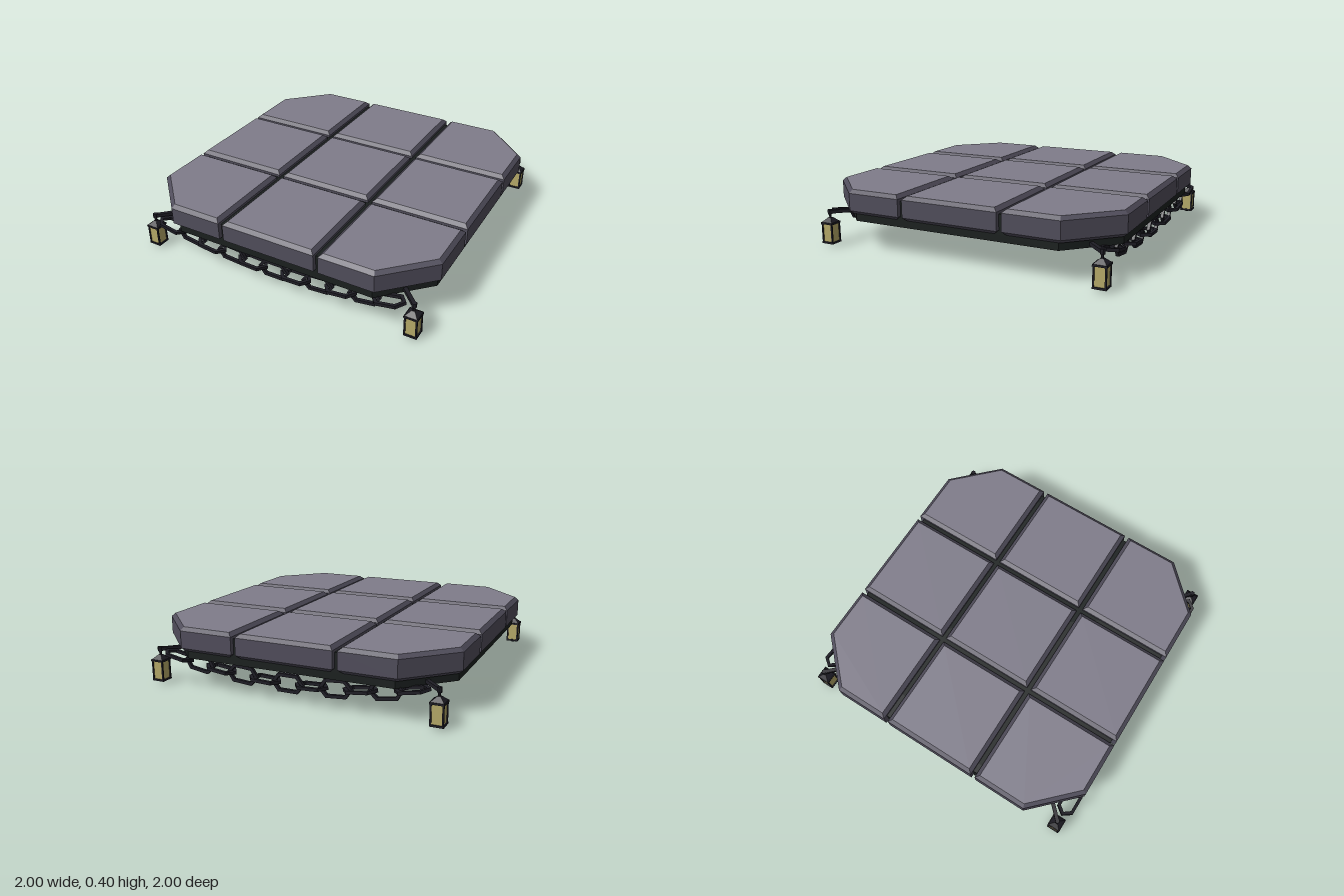
import * as THREE from 'three';

const mat = (color, flatShading = true) => new THREE.MeshStandardMaterial({ color, flatShading });
const stoneTop = mat(0x7f7c8a), stoneSide = mat(0x504d5b), coreMat = mat(0x1b201f);
const rockMat = mat(0x1b1a20, false), iron = mat(0x1e1d25), glow = mat(0xb5a968);

function add(parent, name, geometry, material, x = 0, y = 0, z = 0) {
  const mesh = new THREE.Mesh(geometry, material);
  mesh.name = name;
  mesh.position.set(x, y, z);
  parent.add(mesh);
  return mesh;
}

// Rectangle outline; corners that reach the platform's own corners are cut off
function outline(x0, x1, z0, z1, half, cut) {
  const pts = [];
  [[x0, z0], [x1, z0], [x1, z1], [x0, z1]].forEach(([x, z], i) => {
    if (Math.abs(x) < half || Math.abs(z) < half) {
      pts.push(new THREE.Vector2(x, -z));
      return;
    }
    const alongX = new THREE.Vector2(x - Math.sign(x) * cut, -z);
    const alongZ = new THREE.Vector2(x, -(z - Math.sign(z) * cut));
    pts.push(...(i % 2 ? [alongX, alongZ] : [alongZ, alongX]));
  });
  return new THREE.Shape(pts);
}

// Extrude an outline upward, with an optional chamfer kept inside it
function slab(shape, height, size = 0, thickness = 0) {
  const g = new THREE.ExtrudeGeometry(shape, {
    depth: height - 2 * thickness, bevelEnabled: size > 0, bevelSize: size,
    bevelOffset: -size, bevelThickness: thickness, bevelSegments: 1,
  });
  g.translate(0, 0, thickness);
  return g.rotateX(-Math.PI / 2);
}

// Elongated six-sided ring, centred on the origin in the XY plane
function linkGeometry() {
  const hex = (a, b, h) => [[a, 0], [b, h], [-b, h], [-a, 0], [-b, -h], [b, -h]]
    .map(([x, y]) => new THREE.Vector2(x, y));
  const shape = new THREE.Shape(hex(0.11, 0.066, 0.058));
  shape.holes.push(new THREE.Path(hex(0.086, 0.055, 0.038)));
  const g = new THREE.ExtrudeGeometry(shape, { depth: 0.02, bevelEnabled: false });
  return g.translate(0, 0, -0.01);
}

// Four-sided tapered block, square to the axes
function taper(top, bottom, height) {
  return new THREE.CylinderGeometry(top * Math.SQRT1_2, bottom * Math.SQRT1_2, height, 4)
    .rotateY(Math.PI / 4);
}

function createLantern() {
  const g = new THREE.Group();
  g.name = 'lantern';
  add(g, 'lanternGlass', new THREE.BoxGeometry(0.07, 0.125, 0.07), glow, 0, 0.086, 0);
  for (const sx of [-1, 1]) for (const sz of [-1, 1]) {
    add(g, 'lanternPost', new THREE.BoxGeometry(0.01, 0.13, 0.01), iron, sx * 0.036, 0.086, sz * 0.036);
  }
  add(g, 'lanternBase', new THREE.BoxGeometry(0.084, 0.012, 0.084), iron, 0, 0.022, 0);
  add(g, 'lanternFoot', taper(0.06, 0.008, 0.016), iron, 0, 0.009, 0);
  add(g, 'lanternRim', new THREE.BoxGeometry(0.088, 0.012, 0.088), iron, 0, 0.151, 0);
  add(g, 'lanternRoof', taper(0.02, 0.084, 0.03), iron, 0, 0.17, 0);
  add(g, 'lanternHanger', new THREE.CylinderGeometry(0.008, 0.008, 0.05, 6), iron, 0, 0.205, 0);
  return g;
}

export function createModel() {
  const model = new THREE.Group();
  model.name = 'floatingPlatform';

  // Paving tiles
  const spans = [[-1, -0.352], [-0.322, 0.322], [0.352, 1]];
  const tiles = new THREE.Group();
  tiles.name = 'tiles';
  model.add(tiles);
  for (const [x0, x1] of spans) for (const [z0, z1] of spans) {
    add(tiles, 'tile', slab(outline(x0, x1, z0, z1, 1, 0.285), 0.155, 0.025, 0.022),
      [stoneTop, stoneSide], 0, 0.248, 0);
  }

  // Dark core showing in the joints and below the tiles
  add(model, 'core', slab(outline(-0.97, 0.97, -0.97, 0.97, 0.97, 0.28), 0.165), coreMat, 0, 0.2, 0);

  // Shallow rock belly, its rings pushed slightly off centre
  const profile = [[0.001, 0.002], [0.34, 0.038], [0.635, 0.105], [0.85, 0.2]];
  const belly = new THREE.LatheGeometry(profile.map(([r, y]) => new THREE.Vector2(r, y)), 12);
  const p = belly.attributes.position;
  for (let i = 0; i < p.count; i++) {
    const y = p.getY(i);
    const shift = y > 0.15 ? -0.05 : y > 0.01 ? 0.035 : 0;
    p.setX(i, p.getX(i) + shift);
    p.setZ(i, p.getZ(i) - shift);
  }
  add(model, 'rockBelly', belly, rockMat);

  // Sagging chains along the front and back
  const link = linkGeometry();
  for (const side of [-1, 1]) {
    const chain = new THREE.Group();
    chain.name = side > 0 ? 'frontChain' : 'backChain';
    model.add(chain);
    for (let i = -5; i <= 5; i++) {
      const x = i * 0.156;
      const m = add(chain, 'chainLink', link, iron, x, 0.125 + 0.12 * x * x, side * 0.938);
      m.rotation.order = 'ZYX';
      m.rotation.set(i % 2 ? Math.PI / 2 : 0, 0, Math.atan(0.24 * x));
    }
  }

  // Corner brackets with hanging lanterns
  for (const sx of [-1, 1]) for (const sz of [-1, 1]) {
    const lantern = createLantern();
    lantern.position.set(sx * 0.934, 0, sz * 0.934);
    model.add(lantern);
    const arm = add(model, 'bracketArm', new THREE.BoxGeometry(0.2, 0.022, 0.024), iron,
      sx * 0.868, 0.222, sz * 0.868);
    arm.rotation.y = -sx * sz * Math.PI / 4;
    add(model, 'bracketTip', new THREE.CylinderGeometry(0.016, 0.016, 0.03, 6), iron,
      sx * 0.934, 0.222, sz * 0.934);
  }
  return model;
}
